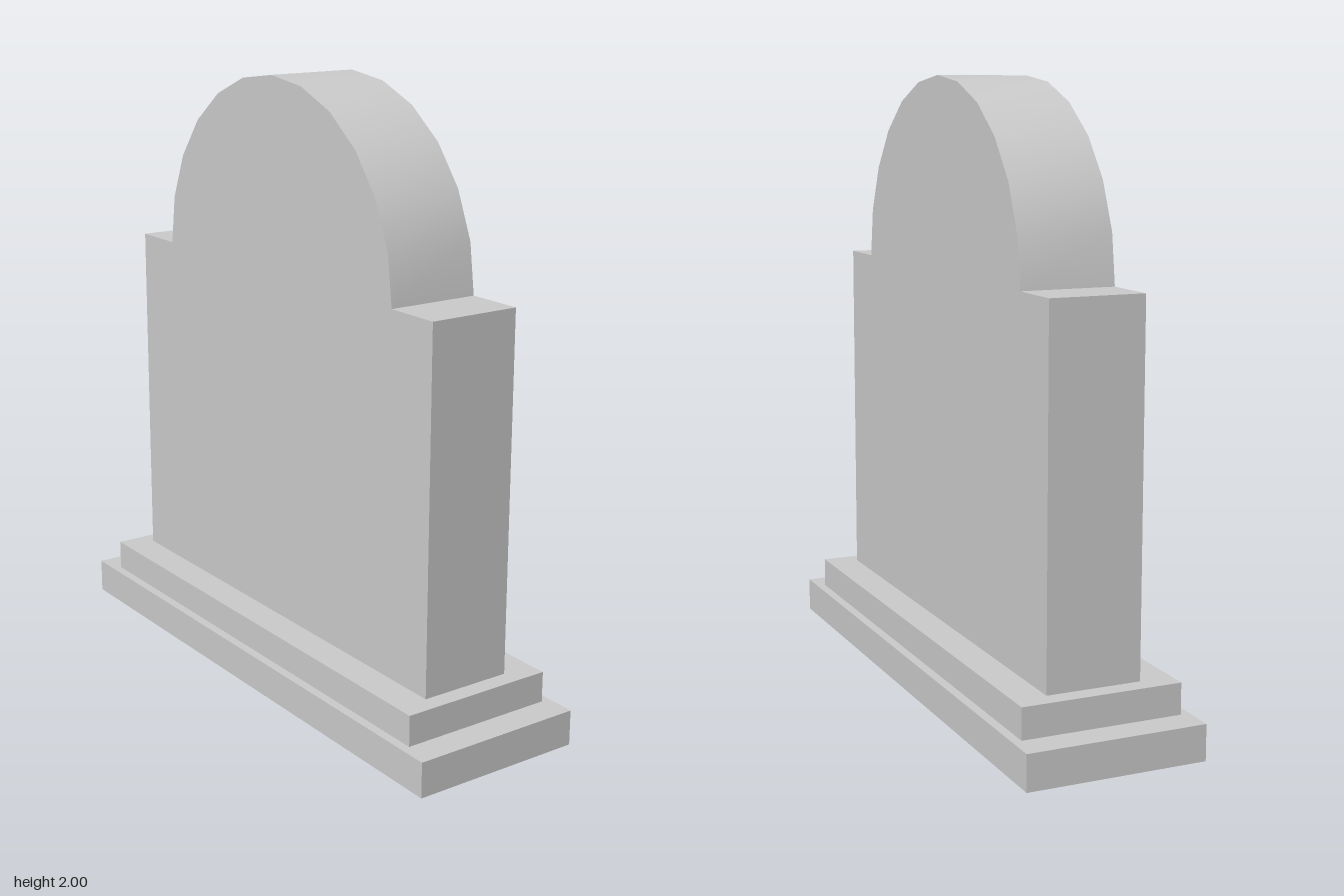
import * as THREE from 'three';
import { toCreasedNormals } from 'three/addons/utils/BufferGeometryUtils.js';

const stone = new THREE.MeshStandardMaterial({ color: 0xcccccc, side: THREE.DoubleSide });

// Drops the triangles lying on the plane y = floor, leaving the underside open
function openBottom(geometry, floor) {
  const geo = geometry.index ? geometry.toNonIndexed() : geometry;
  const p = geo.attributes.position;
  const kept = [];
  for (let i = 0; i < p.count; i += 3) {
    const corners = [i, i + 1, i + 2];
    if (corners.every((k) => Math.abs(p.getY(k) - floor) < 1e-4)) continue;
    for (const k of corners) kept.push(p.getX(k), p.getY(k), p.getZ(k));
  }
  const open = new THREE.BufferGeometry();
  open.setAttribute('position', new THREE.Float32BufferAttribute(kept, 3));
  return toCreasedNormals(open, Math.PI / 6);
}

function part(name, geometry, floor) {
  const mesh = new THREE.Mesh(openBottom(geometry, floor), stone);
  mesh.name = name;
  return mesh;
}

// Plinth step: a box from y0 to y1
function step(name, width, depth, y0, y1) {
  const box = new THREE.BoxGeometry(width, y1 - y0, depth).translate(0, (y0 + y1) / 2, 0);
  return part(name, box, y0);
}

export function createModel() {
  const group = new THREE.Group();
  group.name = 'headstone';

  // Stepped plinth, hollow underneath
  group.add(step('lowerPlinth', 1.94, 0.584, 0, 0.115));
  group.add(step('upperPlinth', 1.744, 0.524, 0.115, 0.215));

  // Slab with square shoulders and a round arch, running down through the plinth
  const halfWidth = 0.813, shoulder = 1.377, radius = 0.623, depth = 0.31;
  const outline = new THREE.Shape();
  outline.moveTo(-halfWidth, 0);
  outline.lineTo(halfWidth, 0);
  outline.lineTo(halfWidth, shoulder);
  outline.lineTo(radius, shoulder);
  outline.absarc(0, shoulder, radius, 0, Math.PI, false);
  outline.lineTo(-halfWidth, shoulder);
  outline.closePath();
  const slab = new THREE.ExtrudeGeometry(outline, { depth, bevelEnabled: false, curveSegments: 6 });
  group.add(part('slab', slab.translate(0, 0, -depth / 2), 0));

  return group;
}
